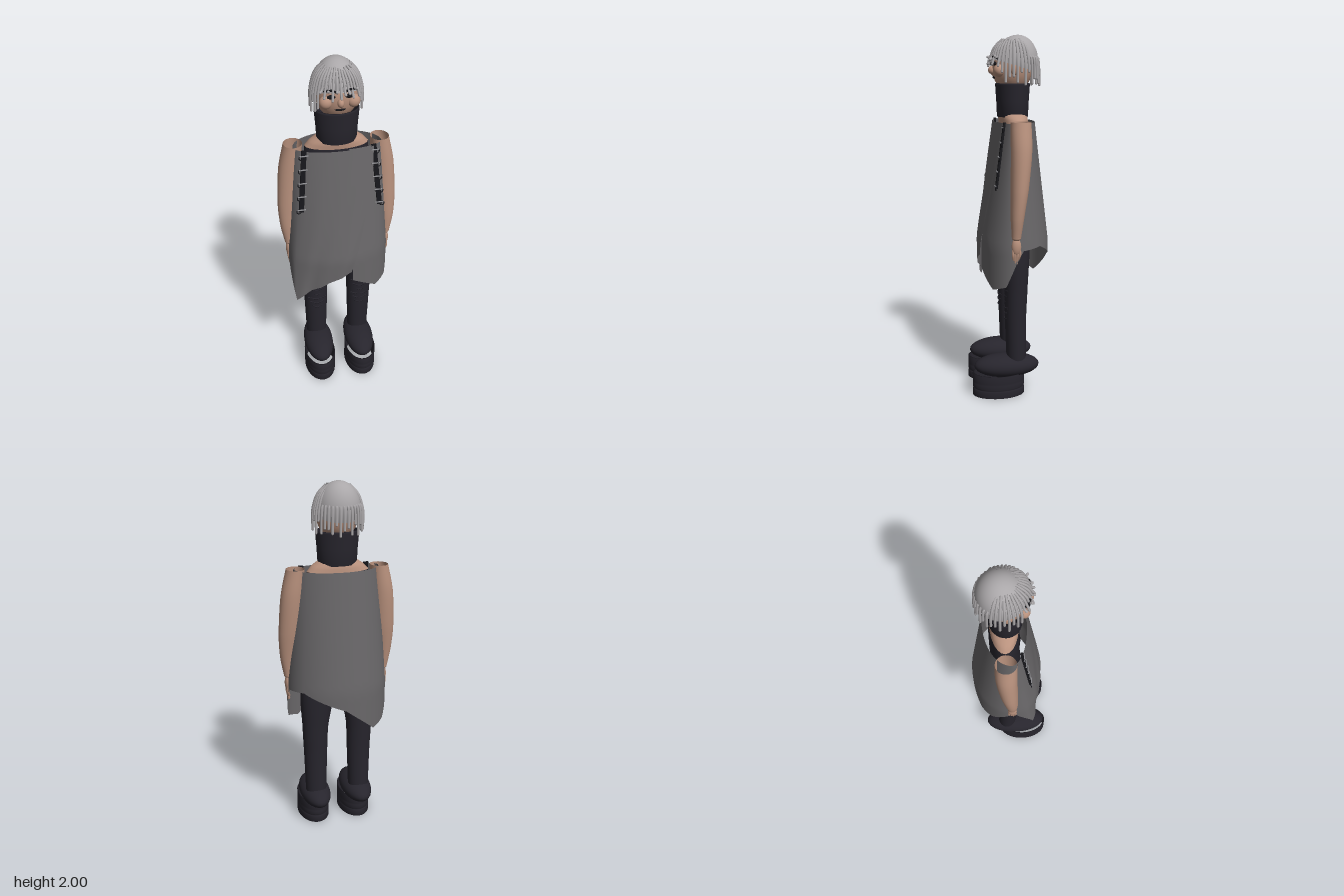
import * as THREE from 'three';

const paint = (color) => new THREE.MeshStandardMaterial({ color, side: THREE.DoubleSide });
const skin = paint(0xb8917d), cloth = paint(0x696769), dark = paint(0x27252d);
const black = paint(0x17171b), hairGrey = paint(0xaaa7a9), metal = paint(0x8c8c90);
const V = (x, y, z) => new THREE.Vector3(x, y, z);
const lerp = THREE.MathUtils.lerp;

function add(parent, name, geometry, material, x = 0, y = 0, z = 0) {
  const mesh = new THREE.Mesh(geometry, material);
  mesh.name = name;
  mesh.position.set(x, y, z);
  parent.add(mesh);
  return mesh;
}

// Surface from a grid of points: rows run bottom to top, columns counterclockwise from above
function surface(rows, cols, point, closed) {
  const pos = [], idx = [], step = closed ? cols : cols + 1;
  for (let i = 0; i <= rows; i++) for (let j = 0; j < step; j++) pos.push(...point(i, j));
  for (let i = 0; i < rows; i++) for (let j = 0; j < cols; j++) {
    const k = (j + 1) % step, a = i * step + j, b = i * step + k;
    idx.push(a, b, a + step, b, b + step, a + step);
  }
  const g = new THREE.BufferGeometry();
  g.setAttribute('position', new THREE.Float32BufferAttribute(pos, 3));
  g.setIndex(idx);
  g.computeVertexNormals();
  return g;
}

// Open tube through horizontal ellipses [cx, cy, cz, rx, rz], smoothed between them
function loft(sections, per = 4, n = 24) {
  const mid = new THREE.CatmullRomCurve3(sections.map(s => V(s[0], s[1], s[2])));
  const rad = new THREE.CatmullRomCurve3(sections.map(s => V(s[3], s[4], 0)));
  const rows = (sections.length - 1) * per;
  return surface(rows, n, (i, j) => {
    const c = mid.getPoint(i / rows), r = rad.getPoint(i / rows), a = j / n * Math.PI * 2;
    return [c.x + r.x * Math.sin(a), c.y, c.z + r.y * Math.cos(a)];
  }, true);
}

const tube = (pts, r, seg = 12, sides = 7) =>
  new THREE.TubeGeometry(new THREE.CatmullRomCurve3(pts), seg, r, sides);

function ball(parent, name, mat, x, y, z, rx, ry, rz) {
  const m = add(parent, name, new THREE.SphereGeometry(1, 28, 18), mat, x, y, z);
  m.scale.set(rx, ry, rz);
  return m;
}

// Wrapped tunic: the hem is [angle, height], angle 0 facing front, rising towards +x
function tunicGeometry() {
  const hem = [[0.21, 0.73], [0.78, 0.64], [1.25, 0.67], [1.75, 0.87], [2.26, 0.88], [Math.PI, 0.78],
    [3.78, 0.64], [4.14, 0.67], [4.75, 0.85], [5.13, 0.6], [5.92, 0.72], [6.46, 0.8]];
  const per = 8, cols = (hem.length - 1) * per, rows = 24;
  return surface(rows, cols, (i, j) => {
    const k = Math.min(Math.floor(j / per), hem.length - 2), f = j / per - k;
    const base = lerp(hem[k][0], hem[k + 1][0], f), low = lerp(hem[k][1], hem[k + 1][1], f);
    const v = 1 - i / rows, y = lerp(1.54, low, v), down = Math.min(1, (1.54 - y) / 0.66);
    const flap = Math.max(0, (base - 4.75) / 1.71);
    const edge = Math.PI * 2 + lerp(0.94, 0.18, v);
    const t = flap > 0 ? 4.75 + flap * (edge - 4.75) : base;
    const a = lerp(0.235, 0.285, down), s = Math.sin(t), c = Math.cos(t);
    const depth = c > 0 ? lerp(0.072, 0.165, down) : lerp(0.14, 0.22, down);
    const over = 0.012 * THREE.MathUtils.smoothstep(flap, 0, 0.5);
    const folds = flap > 0 ? 0.004 * Math.sin(flap * 26 + v * 4) * v : 0;
    const tip = 0.055 * Math.exp(-(((base - 5.13) / 0.3) ** 2)) * v ** 3;
    return [a * s, y, depth * c + over + folds + tip];
  }, false);
}

function boot(side) {
  const g = new THREE.Group();
  g.name = 'boot';
  // Open platform sole with grooves
  const ring = [[0.94, 0], [1, 0], [1, 0.035], [0.965, 0.04], [0.965, 0.046], [1, 0.051], [1, 0.075],
    [0.975, 0.08], [1, 0.085], [1, 0.13], [0.94, 0.13], [0.94, 0]];
  const sole = add(g, 'sole', new THREE.LatheGeometry(ring.map(p => new THREE.Vector2(...p)), 32), dark, 0, 0, 0.077);
  sole.scale.set(0.0925, 1, 0.148);
  ball(g, 'bootUpper', dark, 0, 0.167, 0.03, 0.088, 0.067, 0.185);
  g.position.x = side * 0.127;
  return g;
}

function leg(side) {
  const g = new THREE.Group();
  g.name = 'leg';
  const x = side * 0.13;
  add(g, 'trouserLeg', loft([[x, 0.18, -0.025, 0.06, 0.055], [x, 0.45, -0.02, 0.068, 0.06],
    [x, 0.62, -0.022, 0.075, 0.065], [side * 0.118, 0.8, -0.02, 0.096, 0.078],
    [side * 0.1, 1.05, -0.02, 0.1, 0.085]]), dark);
  // Wrinkles across the knee
  for (let i = 0; i < 6; i++) {
    const y = 0.45 + i * 0.033, w = 0.03 + 0.012 * (i % 3);
    add(g, 'kneeWrinkle', tube([V(x - w, y + 0.006, 0.031), V(x, y - 0.004, 0.042), V(x + w, y + 0.004, 0.031)], 0.004, 8, 5), dark);
  }
  return g;
}

function arm(side) {
  const g = new THREE.Group();
  g.name = 'arm';
  const p = side;
  add(g, 'armSleeve', loft([[p * 0.232, 1.55, -0.03, 0.05, 0.055], [p * 0.253, 1.4, -0.03, 0.061, 0.056],
    [p * 0.268, 1.2, -0.018, 0.06, 0.048], [p * 0.279, 1.05, -0.005, 0.042, 0.036],
    [p * 0.279, 0.945, 0, 0.023, 0.025]]), skin);
  ball(g, 'wrist', skin, p * 0.279, 0.945, 0, 0.023, 0.018, 0.025);
  ball(g, 'palm', skin, p * 0.279, 0.895, 0, 0.019, 0.05, 0.026);
  for (let i = 0; i < 4; i++) {
    const z = 0.018 - i * 0.012, end = [0.815, 0.795, 0.8, 0.82][i];
    add(g, 'finger', tube([V(p * 0.281, 0.885, z), V(p * 0.285, 0.85, z), V(p * 0.276, end, z * 0.6 + 0.003)], 0.007, 8), skin);
  }
  add(g, 'thumb', tube([V(p * 0.275, 0.915, 0.014), V(p * 0.265, 0.88, 0.032), V(p * 0.262, 0.85, 0.03)], 0.007, 8), skin);
  return g;
}

// Shoulder strap lying on the tunic, crossed by metal bars and rings
function strap(side) {
  const g = new THREE.Group();
  g.name = 'strap';
  const a = V(side * 0.183, 1.545, 0.05), b = V(side * 0.214, 1.2, 0.098);
  const band = add(g, 'strapBand', new THREE.BoxGeometry(0.026, a.distanceTo(b), 0.012), black);
  band.position.copy(a).lerp(b, 0.5);
  band.quaternion.setFromUnitVectors(V(0, 1, 0), a.clone().sub(b).normalize());
  for (let i = 0; i < 5; i++) {
    const c = a.clone().lerp(b, 0.08 + i * 0.22);
    const bar = add(g, 'strapBar', new THREE.CylinderGeometry(0.004, 0.004, 0.045, 8), metal, c.x, c.y, c.z + 0.007);
    bar.rotation.z = Math.PI / 2;
    add(g, 'strapRing', new THREE.TorusGeometry(0.012, 0.003, 6, 16), black, c.x + side * 0.014, c.y - 0.01, c.z + 0.006);
  }
  return g;
}

function head() {
  const g = new THREE.Group();
  g.name = 'head';
  ball(g, 'skull', skin, 0, 1.83, -0.02, 0.113, 0.14, 0.11);
  ball(g, 'nose', skin, 0, 1.815, 0.092, 0.017, 0.022, 0.02);
  ball(g, 'mouth', black, 0, 1.776, 0.078, 0.028, 0.007, 0.009);
  for (const s of [-1, 1]) {
    ball(g, 'cheek', skin, s * 0.07, 1.812, 0.062, 0.034, 0.034, 0.03);
    ball(g, 'ear', skin, s * 0.114, 1.82, -0.015, 0.012, 0.032, 0.022);
    ball(g, 'eye', black, s * 0.045, 1.848, 0.082, 0.022, 0.011, 0.01);
    add(g, 'eyebrow', tube([V(s * 0.02, 1.875, 0.092), V(s * 0.05, 1.885, 0.088), V(s * 0.08, 1.872, 0.066)], 0.006, 8), black);
  }
  // Hair cap, tilted back off the forehead
  const cap = add(g, 'hairCap', new THREE.SphereGeometry(1, 36, 18, 0, Math.PI * 2, 0, Math.PI * 0.5), hairGrey, 0, 1.835, -0.03);
  cap.scale.set(0.124, 0.168, 0.128);
  cap.rotation.x = -0.28;
  const onCap = (t, p, k) => V(0.124 * k * Math.sin(p) * Math.sin(t), 1.833 + 0.165 * Math.cos(p), -0.03 + 0.128 * k * Math.sin(p) * Math.cos(t));
  // Hanging strands: long over the sides, short fringe, stubs at the back
  const n = 40;
  for (let i = 0; i < n; i++) {
    const t = (i / n) * Math.PI * 2 - Math.PI, wob = Math.sin(i * 2.7), front = Math.cos(t);
    const start = front > -0.5 ? 0.6 + 0.1 * wob : 1.25;
    const end = front > 0.6 ? 1.862 + 0.025 * wob : front > -0.5 ? 1.775 + 0.035 * wob : 1.765 + 0.03 * wob;
    const low = onCap(t, front > 0.6 ? 1.3 : 1.45, 1.06);
    const out = front > 0.6 ? 0.012 : 0.003;
    const tip = V(low.x + out * Math.sin(t), end, low.z + out * front);
    const pts = [onCap(t, start, 1), onCap(t, (start + 1.3) / 2, 1.05), low, tip];
    add(g, 'hairStrand', tube(pts, 0.0068, 12, 7), hairGrey);
    ball(g, 'strandTip', hairGrey, tip.x, tip.y, tip.z, 0.0068, 0.0068, 0.0068).geometry = new THREE.SphereGeometry(1, 8, 6);
  }
  return g;
}

export function createModel() {
  const model = new THREE.Group();
  model.name = 'figure';
  for (const s of [-1, 1]) model.add(boot(s), leg(s), arm(s), strap(s));
  // Body under the tunic
  add(model, 'torso', loft([[0, 0.95, -0.02, 0.19, 0.085], [0, 1.2, -0.03, 0.17, 0.08],
    [0, 1.45, -0.03, 0.175, 0.08], [0, 1.53, -0.03, 0.17, 0.075]]), dark);
  add(model, 'shoulders', loft([[0, 1.53, -0.03, 0.17, 0.075], [0, 1.558, -0.027, 0.145, 0.075], [0, 1.59, -0.022, 0.095, 0.07]]), skin);
  add(model, 'tunic', tunicGeometry(), cloth);
  // High collar with a thick rim
  const collar = [[0.78, 1.57], [0.9, 1.565], [0.94, 1.65], [1, 1.735], [0.99, 1.745], [0.93, 1.745], [0.9, 1.7]];
  add(model, 'collar', new THREE.LatheGeometry(collar.map(p => new THREE.Vector2(...p)), 32), dark, 0, 0, -0.022).scale.set(0.118, 1, 0.094);
  model.add(head());
  return model;
}
